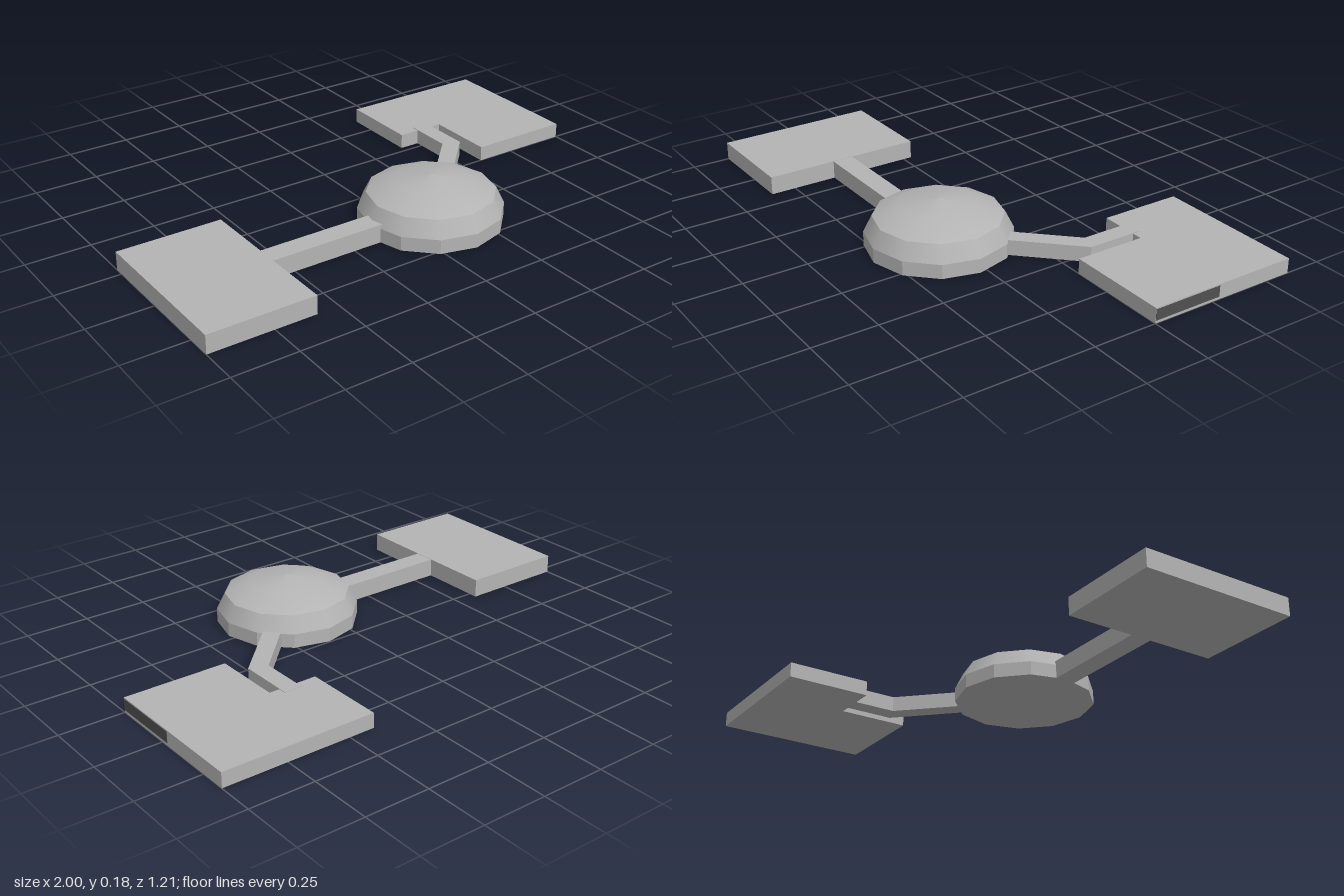
import * as THREE from 'three';

const grey = new THREE.MeshStandardMaterial({ name: 'hull grey', color: 0xb4b4b4 });
const dark = new THREE.MeshStandardMaterial({ name: 'opening dark', color: 0x505050 });

export function createModel() {
  const model = new THREE.Group();
  model.name = 'moduleBase';

  const add = (name, geometry, material = grey) => {
    const mesh = new THREE.Mesh(geometry, material);
    mesh.name = name;
    model.add(mesh);
    return mesh;
  };

  // Flat module: floor plan given as [x, z] corners, raised from the ground
  const slab = (name, plan, height) => {
    const shape = new THREE.Shape(plan.map(([x, z]) => new THREE.Vector2(x, -z)));
    const geometry = new THREE.ExtrudeGeometry(shape, { depth: height, bevelEnabled: false });
    geometry.rotateX(-Math.PI / 2);
    return add(name, geometry);
  };

  // Twelve-sided ring of the central dome, from [radius, y] points
  const ring = (name, points, flat) => {
    let geometry = new THREE.LatheGeometry(points.map(([r, y]) => new THREE.Vector2(r, y)), 12);
    if (flat) {
      geometry = geometry.toNonIndexed();
      geometry.computeVertexNormals();
    }
    const mesh = add(name, geometry);
    mesh.position.set(0.123, 0, 0.278);
  };

  // Central dome
  ring('domeWall', [[0, 0], [0.274, 0], [0.274, 0.055]], true);
  ring('domeSkirt', [[0.274, 0.055], [0.242, 0.119]], false);
  ring('domeCap', [[0.242, 0.119], [0.14, 0.164], [0, 0.18]], false);

  // Right-hand room and its straight corridor
  slab('largeRoom', [[-1, -0.035], [-0.587, -0.035], [-0.587, 0.6], [-1, 0.6]], 0.072);
  slab('straightCorridor', [[-0.587, 0.24], [-0.1, 0.24], [-0.1, 0.325], [-0.587, 0.325]], 0.071);

  // Left-hand L-shaped room and its bent corridor
  slab('cornerRoom', [[0.4, -0.605], [1, -0.605], [1, 0], [0.593, 0], [0.593, -0.278], [0.4, -0.278]], 0.058);
  slab('bentCorridor', [[0.482, -0.31], [0.552, -0.31], [0.552, -0.087], [0.27, 0.2],
    [0.22, 0.155], [0.482, -0.112]], 0.06);

  // Dark doorway on the outer side of the L-shaped room
  const doorway = add('doorway', new THREE.BoxGeometry(0.004, 0.043, 0.28), dark);
  doorway.position.set(0.999, 0.032, -0.141);

  return model;
}
